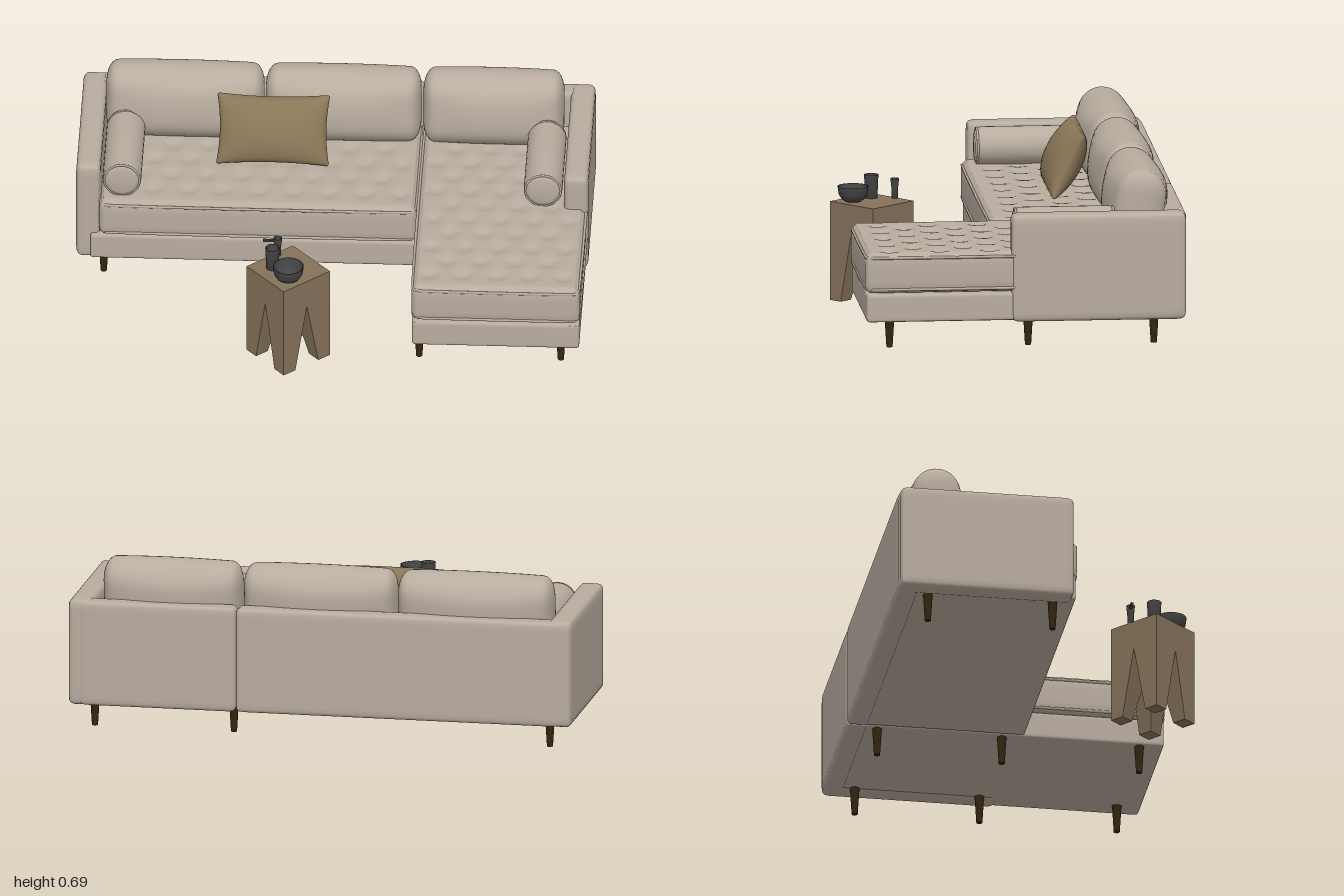
import * as THREE from 'three';
import { mergeVertices } from 'three/addons/utils/BufferGeometryUtils.js';

const mat = (name, color, side = THREE.FrontSide) => {
  const m = new THREE.MeshStandardMaterial({ color, side });
  m.name = name;
  return m;
};

// Rounded, finely divided box; rule(v, u) may push the surface around (u runs -1..1 on each axis)
function softBox(size, radii, segs, rule) {
  const g = new THREE.BoxGeometry(2, 2, 2, ...segs);
  g.deleteAttribute('uv');
  g.deleteAttribute('normal');
  const p = g.attributes.position;
  const v = new THREE.Vector3(), d = new THREE.Vector3(), u = new THREE.Vector3();
  for (let i = 0; i < p.count; i++) {
    v.fromBufferAttribute(p, i);
    for (let a = 0; a < 3; a++) {
      const half = size[a] / 2, inner = half - radii[a];
      const c = Math.sin(v.getComponent(a) * Math.PI / 2) * half;
      const k = THREE.MathUtils.clamp(c, -inner, inner);
      v.setComponent(a, k);
      d.setComponent(a, (c - k) / radii[a]);
    }
    d.normalize();
    for (let a = 0; a < 3; a++) {
      v.setComponent(a, v.getComponent(a) + d.getComponent(a) * radii[a]);
      u.setComponent(a, v.getComponent(a) / (size[a] / 2));
    }
    if (rule) rule(v, u);
    p.setXYZ(i, v.x, v.y, v.z);
  }
  const merged = mergeVertices(g, 1e-5);
  merged.computeVertexNormals();
  return merged;
}

export function createModel() {
  const group = new THREE.Group();
  const fabric = mat('beige fabric', 0xb8ac9f);
  const brown = mat('brown fabric', 0x8a7757);
  const wood = mat('stool wood', 0x85725a);
  const darkWood = mat('dark leg wood', 0x33260f);
  const ceramic = mat('charcoal ceramic', 0x444343, THREE.DoubleSide);

  const add = (name, geo, material, x = 0, y = 0, z = 0, parent = group) => {
    const m = new THREE.Mesh(geo, material);
    m.name = name;
    m.position.set(x, y, z);
    parent.add(m);
    return m;
  };
  // Upholstered block given by its bounds
  const block = (name, x0, x1, y0, y1, z0, z1, r) =>
    add(name, softBox([x1 - x0, y1 - y0, z1 - z0], [r, r, r], [16, 16, 16]), fabric,
      (x0 + x1) / 2, (y0 + y1) / 2, (z0 + z1) / 2);

  // Frame: bases, back panels and arms
  block('sofaBase', -0.94, 0.33, 0.13, 0.24, -0.62, 0.055, 0.012);
  block('chaiseBase', 0.335, 0.985, 0.13, 0.24, -0.62, 0.605, 0.012);
  block('sofaBack', -0.95, 0.33, 0.125, 0.54, -0.645, -0.56, 0.02);
  block('chaiseBack', 0.333, 0.95, 0.125, 0.54, -0.645, -0.56, 0.02);
  for (const s of [-1, 1]) {
    block(s < 0 ? 'rightArm' : 'leftArm', s * 0.9475 - 0.0475, s * 0.9475 + 0.0475, 0.123, 0.545, -0.64, 0.04, 0.025);
  }

  // Tufted seat cushions with piped edges
  const pitch = 0.13;
  function seat(name, x0, x1, z0, z1, segX, segZ) {
    const w = x1 - x0, d = z1 - z0, y0 = 0.243, y1 = 0.4;
    const nx = Math.round(w / pitch), nz = Math.round(d / (pitch * 0.75));
    const buttons = [];
    for (let j = 1; j < nz; j++) {
      for (let i = 0; i < nx; i++) {
        const bx = (i + (j % 2 ? 0.5 : 1)) / nx * w - w / 2;
        if (bx < w / 2 - 0.04) buttons.push([bx, j / nz * d - d / 2]);
      }
    }
    const geo = softBox([w, y1 - y0, d], [0.03, 0.03, 0.03], [segX, 8, segZ], (v, u) => {
      if (u.y < 0.95) return;
      let dent = 0;
      for (const [bx, bz] of buttons) {
        dent += Math.exp(-((v.x - bx) ** 2 + (v.z - bz) ** 2) / 0.0009);
      }
      v.y += 0.004 - 0.014 * Math.min(dent, 1);
    });
    const cx = (x0 + x1) / 2, cz = (z0 + z1) / 2;
    add(name, geo, fabric, cx, (y0 + y1) / 2, cz);
    const pts = [];
    const r = 0.03;
    for (let k = 0; k < 4; k++) {
      const sx = k === 0 || k === 3 ? 1 : -1, sz = k < 2 ? 1 : -1;
      for (let n = 0; n <= 4; n++) {
        const a = (k + n / 4) * Math.PI / 2;
        pts.push(new THREE.Vector3(sx * (w / 2 - r) + Math.cos(a) * (r - 0.005), 0,
          sz * (d / 2 - r) + Math.sin(a) * (r - 0.005)));
      }
    }
    const path = new THREE.CatmullRomCurve3(pts, true, 'centripetal');
    const pipe = new THREE.TubeGeometry(path, 120, 0.006, 6, true);
    for (const y of [y0 + 0.016, y1 - 0.016]) add(name + 'Piping', pipe, fabric, cx, y, cz);
  }
  seat('sofaSeat', -0.905, 0.328, -0.56, 0.068, 90, 48);
  seat('chaiseSeat', 0.333, 0.987, -0.56, 0.61, 56, 90);

  // Plump back cushions, leaning back a little
  for (const [x0, x1] of [[-0.9, -0.285], [-0.28, 0.325], [0.332, 0.88]]) {
    const geo = softBox([x1 - x0, 0.3, 0.17], [0.045, 0.085, 0.082], [28, 20, 14], (v, u) => {
      v.z *= 1 + 0.45 * (1 - u.x ** 2) * (1 - u.y ** 2);
      v.y += 0.006 * (1 - u.x ** 2) * u.y;
    });
    add('backCushion', geo, fabric, (x0 + x1) / 2, 0.537, -0.472).rotation.x = -0.12;
  }

  // Bolsters with piped ends
  const bolsterProfile = [[0, -0.202], [0.05, -0.2], [0.068, -0.192], [0.075, -0.175],
    [0.075, 0.175], [0.068, 0.192], [0.05, 0.2], [0, 0.202]].map(([r, y]) => new THREE.Vector2(r, y));
  const bolster = new THREE.LatheGeometry(bolsterProfile, 32);
  const ring = new THREE.TorusGeometry(0.069, 0.005, 6, 32);
  for (const s of [-1, 1]) {
    add('bolster', bolster, fabric, s * 0.818, 0.47, -0.178).rotation.x = Math.PI / 2;
    for (const e of [-1, 1]) add('bolsterPiping', ring, fabric, s * 0.818, 0.47, -0.178 + e * 0.19);
  }

  // Throw pillow with pinched corners
  const pillowGeo = softBox([0.44, 0.28, 0.1], [0.012, 0.012, 0.05], [30, 24, 6], (v, u) => {
    const x = Math.min(1, Math.abs(u.x)), y = Math.min(1, Math.abs(u.y));
    v.z *= 0.06 + 1.4 * Math.pow((1 - x * x) * (1 - y * y), 0.5);
    v.x *= 1 - 0.06 * (1 - y * y);
    v.y *= 1 - 0.08 * (1 - x * x);
  });
  add('throwPillow', pillowGeo, brown, -0.243, 0.532, -0.275).rotation.x = -0.45;

  // Tapered sofa feet
  const foot = new THREE.CylinderGeometry(0.019, 0.012, 0.115, 16);
  for (const [x, z] of [[-0.89, -0.03], [-0.89, -0.52], [0.36, -0.52], [0.36, -0.03],
    [0.36, 0.51], [0.91, 0.51], [0.91, -0.03], [0.91, -0.52]]) {
    add('sofaFoot', foot, darkWood, x, 0.0775, z);
  }

  // Stool: solid top on four legs left by crossing V notches
  const stool = new THREE.Group();
  stool.name = 'stool';
  stool.position.set(-0.15, 0, 0.482);
  stool.rotation.y = -0.85;
  group.add(stool);
  const half = 0.115, notch = 0.275, tip = 0.058;
  add('stoolTop', new THREE.BoxGeometry(half * 2, 0.39 - notch, half * 2), wood, 0, (0.39 + notch) / 2, 0, stool);
  for (const sx of [-1, 1]) {
    for (const sz of [-1, 1]) {
      const g = new THREE.BoxGeometry(half, notch, half).translate(sx * half / 2, notch / 2, sz * half / 2);
      const p = g.attributes.position;
      for (let i = 0; i < p.count; i++) {
        if (p.getY(i) > 0.01) continue;
        if (Math.abs(p.getX(i)) < 0.01) p.setX(i, sx * (half - tip));
        if (Math.abs(p.getZ(i)) < 0.01) p.setZ(i, sz * (half - tip));
      }
      g.computeVertexNormals();
      add('stoolLeg', g, wood, 0, 0, 0, stool);
    }
  }

  // Tableware
  const lathe = (pts) => new THREE.LatheGeometry(pts.map(([r, y]) => new THREE.Vector2(r, y)), 28);
  add('bowl', lathe([[0, 0], [0.03, 0], [0.045, 0.01], [0.056, 0.03], [0.06, 0.06],
    [0.056, 0.06], [0.05, 0.03], [0.035, 0.014], [0, 0.01]]), ceramic, -0.147, 0.391, 0.555);
  add('cup', lathe([[0, 0], [0.024, 0], [0.028, 0.092], [0.024, 0.092], [0.021, 0.01], [0, 0.01]]),
    ceramic, -0.212, 0.391, 0.478);
  add('smallCup', lathe([[0, 0], [0.012, 0], [0.013, 0.04], [0.017, 0.078], [0.013, 0.078], [0.01, 0.01], [0, 0.01]]),
    ceramic, -0.195, 0.391, 0.388);
  add('smallCupHandle', new THREE.BoxGeometry(0.05, 0.008, 0.01), ceramic, -0.228, 0.455, 0.385);
  return group;
}
